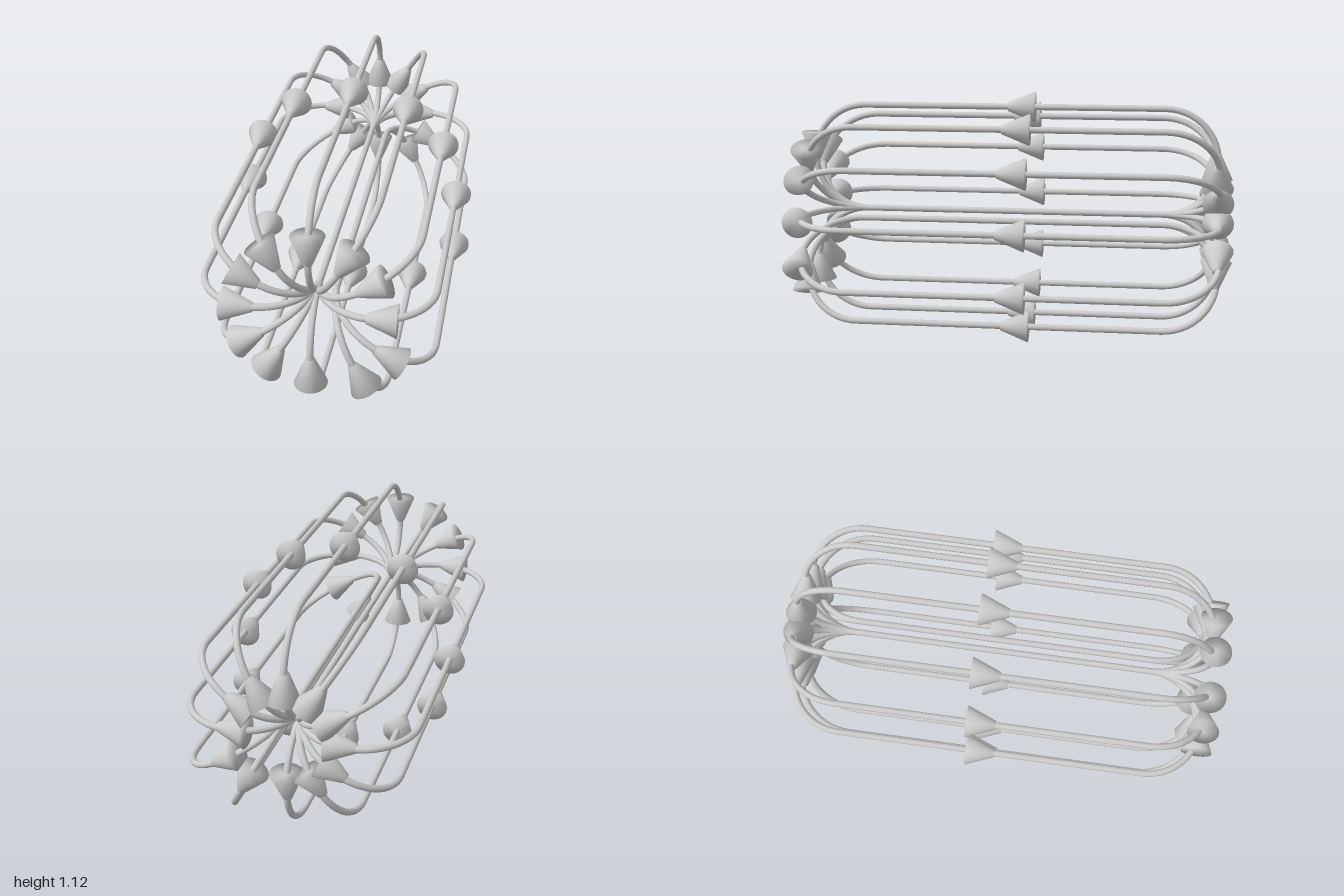
import * as THREE from 'three';
import { mergeVertices } from 'three/addons/utils/BufferGeometryUtils.js';

const RADIUS = 0.488;       // outer reach of each loop from the axis
const BEND = RADIUS / 2;    // radius of the half-round ends
const STRAIGHT = 0.69;      // half length of the straight runs
const CENTRE = [-0.01, 0.563];
const SHIFT = [0.068, -0.033]; // the last two loops sit slightly apart
// Slightly uneven spacing of the loops, in degrees
const ANGLES = [0, 31, 59, 90, 122.5, 151, 180.3, 211.5, 238.5, 270.3, 297.7, 330.3];

const material = new THREE.MeshStandardMaterial({ color: 0xcccccc });

// Stadium path in the local x-z plane, x being the radial direction
class StadiumCurve extends THREE.Curve {
  getPoint(t, target = new THREE.Vector3()) {
    const line = 2 * STRAIGHT, arc = Math.PI * BEND;
    let s = (((t % 1) + 1) % 1) * 2 * (line + arc);
    const back = s >= line + arc;
    if (back) s -= line + arc;
    let x = BEND, z = s - STRAIGHT;
    if (s > line) {
      const a = (s - line) / BEND;
      x = BEND * Math.cos(a);
      z = STRAIGHT + BEND * Math.sin(a);
    }
    const k = back ? -1 : 1;
    return target.set(BEND + k * x, 0, k * z);
  }
}

// Cone whose shading runs softly over the rim and both ends
function softCone() {
  const cone = new THREE.CylinderGeometry(0.02, 0.07, 0.125, 32);
  cone.deleteAttribute('normal');
  cone.deleteAttribute('uv');
  const merged = mergeVertices(cone);
  merged.computeVertexNormals();
  return merged;
}

const tubeGeometry = new THREE.TubeGeometry(new StadiumCurve(), 144, 0.0145, 12, true);
const coneGeometry = softCone();

// Arrowhead running from its wide base to its narrow tip, as [radial, z] pairs
function arrow(name, base, tip) {
  const from = new THREE.Vector3(base[0], 0, base[1]);
  const to = new THREE.Vector3(tip[0], 0, tip[1]);
  const mesh = new THREE.Mesh(coneGeometry, material);
  mesh.name = name;
  mesh.position.copy(from).add(to).multiplyScalar(0.5);
  mesh.quaternion.setFromUnitVectors(new THREE.Vector3(0, 1, 0), to.sub(from).normalize());
  return mesh;
}

function fieldLoop(degrees, index) {
  const loop = new THREE.Group();
  loop.name = `fieldLoop${index + 1}`;
  const tube = new THREE.Mesh(tubeGeometry, material);
  tube.name = 'loopTube';
  loop.add(
    tube,
    arrow('outerArrow', [RADIUS, -0.1], [RADIUS, 0.025]),
    arrow('frontArrow', [0.355, 0.928], [0.23, 0.934]),
    arrow('backArrow', [0.165, -0.93], [0.29, -0.922]),
  );
  const shift = index >= 10 ? SHIFT : [0, 0];
  loop.position.set(CENTRE[0] + shift[0], CENTRE[1] + shift[1], 0);
  loop.rotation.z = THREE.MathUtils.degToRad(degrees);
  return loop;
}

export function createModel() {
  const model = new THREE.Group();
  model.name = 'fieldLines';
  ANGLES.forEach((degrees, index) => model.add(fieldLoop(degrees, index)));
  return model;
}
